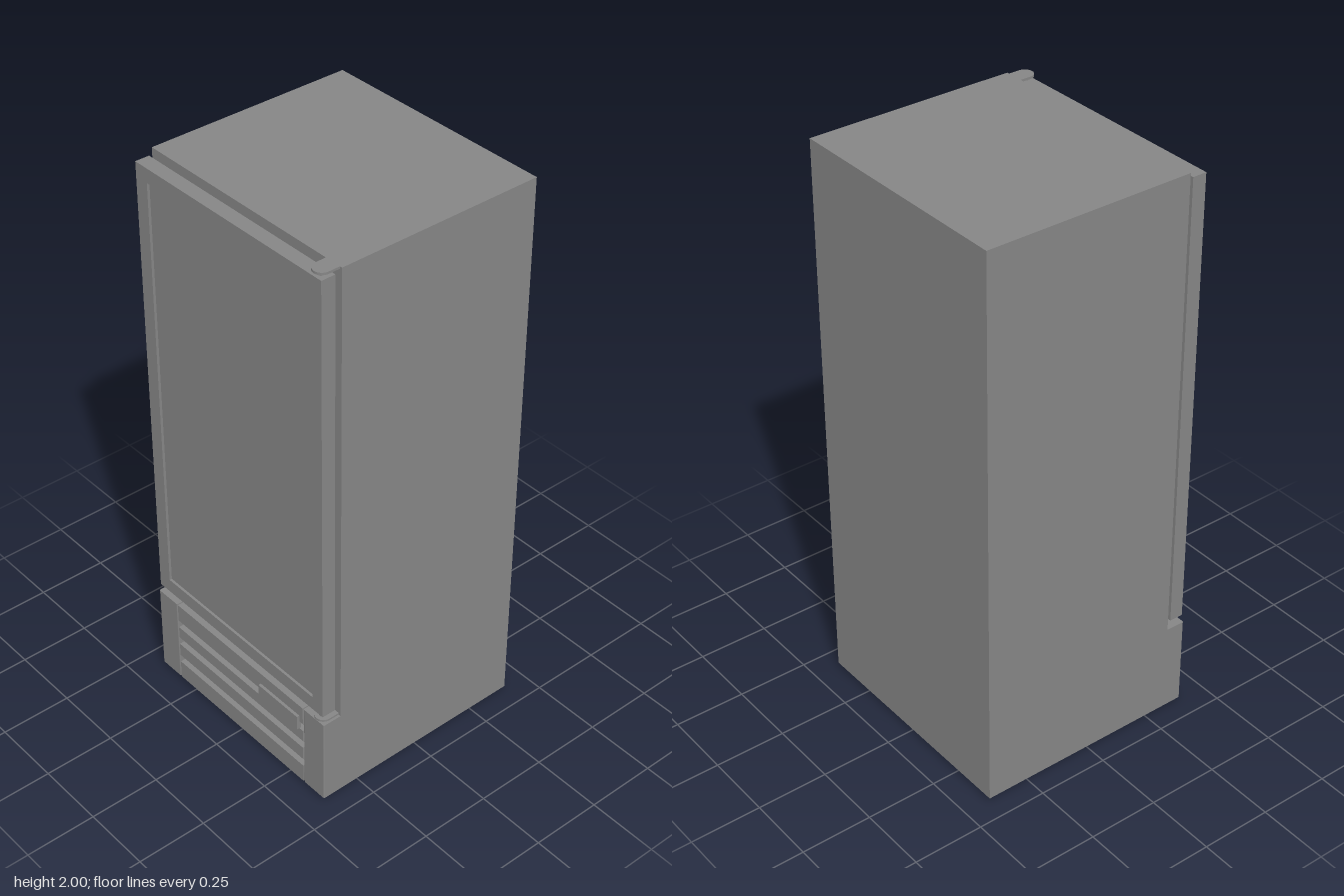
import * as THREE from 'three';

const grey = new THREE.MeshStandardMaterial({ color: 0x868686, flatShading: true });
const smooth = new THREE.MeshStandardMaterial({ color: 0x868686 });

function add(parent, name, geometry, material = grey) {
  const mesh = new THREE.Mesh(geometry, material);
  mesh.name = name;
  parent.add(mesh);
  return mesh;
}

// Box given by its limits on each axis
function block(parent, name, [x0, x1], [y0, y1], [z0, z1]) {
  const mesh = add(parent, name, new THREE.BoxGeometry(x1 - x0, y1 - y0, z1 - z0));
  mesh.position.set((x0 + x1) / 2, (y0 + y1) / 2, (z0 + z1) / 2);
}

function rectPoints(x0, x1, y0, y1) {
  return [[x0, y0], [x1, y0], [x1, y1], [x0, y1]].map(([x, y]) => new THREE.Vector2(x, y));
}

// Extrudes a plan drawn in (x, -z) upward from y0 to y1
function upright(shape, y0, y1) {
  return new THREE.ExtrudeGeometry(shape, { depth: y1 - y0, bevelEnabled: false, curveSegments: 12 })
    .rotateX(-Math.PI / 2).translate(0, y0, 0);
}

export function createModel() {
  const cooler = new THREE.Group();
  cooler.name = 'displayCooler';

  block(cooler, 'cabinet', [-0.425, 0.425], [0.011, 2], [-0.406, 0.327]);

  // Door: frame with a slightly recessed pane
  const door = new THREE.Group();
  door.name = 'door';
  cooler.add(door);
  const frame = new THREE.Shape(rectPoints(-0.42, 0.415, 0.361, 1.98));
  frame.holes.push(new THREE.Path(rectPoints(-0.368, 0.365, 0.412, 1.93).reverse()));
  add(door, 'doorFrame', new THREE.ExtrudeGeometry(frame, { depth: 0.05, bevelEnabled: false }))
    .position.z = 0.342;
  block(door, 'doorPane', [-0.37, 0.367], [0.41, 1.932], [0.344, 0.383]);

  // Base posts with softened front corners
  const front = -0.396, r = 0.005;
  for (const side of [-1, 1]) {
    const [x0, x1] = side < 0 ? [-0.425, -0.328] : [0.326, 0.425];
    const plan = new THREE.Shape();
    plan.moveTo(x0, -0.327);
    plan.lineTo(x0, front + r);
    plan.quadraticCurveTo(x0, front, x0 + r, front);
    plan.lineTo(x1 - r, front);
    plan.quadraticCurveTo(x1, front, x1, front + r);
    plan.lineTo(x1, -0.327);
    add(cooler, side < 0 ? 'rightPost' : 'leftPost', upright(plan, 0.011, 0.333));
  }

  // Grille: side profile in (z, y); each slot has a flat ledge and a sloping ceiling
  const profile = new THREE.Shape();
  profile.moveTo(0.327, 0.011);
  profile.lineTo(0.396, 0.011);
  for (const y of [0.08, 0.16, 0.235]) {
    profile.lineTo(0.396, y);
    profile.lineTo(0.376, y);
    profile.lineTo(0.376, y + 0.014);
    profile.lineTo(0.396, y + 0.03);
  }
  profile.lineTo(0.396, 0.333);
  profile.lineTo(0.327, 0.333);
  add(cooler, 'grille', new THREE.ExtrudeGeometry(profile, { depth: 0.646, bevelEnabled: false })
    .rotateY(-Math.PI / 2).translate(0.322, 0, 0));
  block(cooler, 'controlPlate', [0.112, 0.305], [0.235, 0.29], [0.39, 0.406]);

  // Hinges: rounded tongue plus pin, above and below the door
  const tongue = new THREE.Shape();
  tongue.moveTo(0.358, -0.327);
  tongue.lineTo(0.358, -0.366);
  tongue.absarc(0.387, -0.366, 0.029, Math.PI, 2 * Math.PI, false);
  tongue.lineTo(0.416, -0.327);
  const hinges = [
    { name: 'topHinge', plate: [1.992, 2], pin: [1.97, 1.995] },
    { name: 'bottomHinge', plate: [0.333, 0.34], pin: [0.336, 0.37] },
  ];
  for (const { name, plate, pin } of hinges) {
    const hinge = new THREE.Group();
    hinge.name = name;
    cooler.add(hinge);
    add(hinge, 'hingePlate', upright(tongue, ...plate));
    add(hinge, 'hingePin', new THREE.CylinderGeometry(0.011, 0.011, pin[1] - pin[0], 20), smooth)
      .position.set(0.387, (pin[0] + pin[1]) / 2, 0.369);
  }

  // Low round feet
  for (const x of [-0.352, 0.348]) {
    for (const z of [-0.276, 0.259]) {
      add(cooler, 'foot', new THREE.CylinderGeometry(0.067, 0.063, 0.013, 32), smooth)
        .position.set(x, 0.0065, z);
    }
  }
  return cooler;
}
